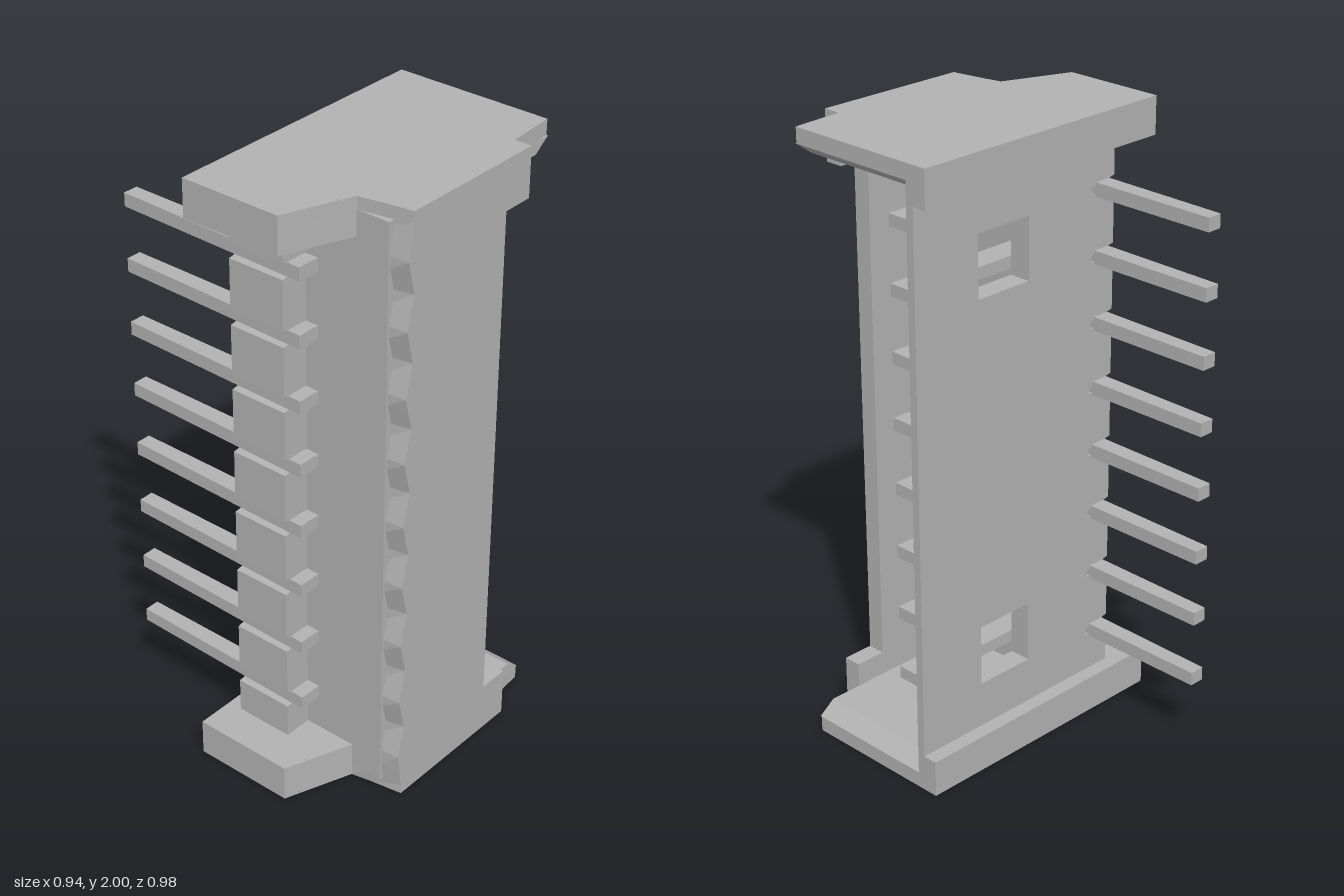
import * as THREE from 'three';

const plastic = new THREE.MeshStandardMaterial({ color: 0xb2b2b2 });
plastic.name = 'grey plastic';

const toShape = (pts) => new THREE.Shape(pts.map(([a, b]) => new THREE.Vector2(a, b)));

// Prism with an (x, y) outline running from z0 to z1
function prismZ(shape, z0, z1) {
  const g = new THREE.ExtrudeGeometry(shape, { depth: z1 - z0, bevelEnabled: false });
  return g.translate(0, 0, z0);
}

// Prism with an (x, z) outline running from y0 to y1
function prismY(pts, y0, y1) {
  const g = new THREE.ExtrudeGeometry(toShape(pts.map(([x, z]) => [x, -z])), { depth: y1 - y0, bevelEnabled: false });
  return g.rotateX(-Math.PI / 2).translate(0, y0, 0);
}

function box(x0, x1, y0, y1, z0, z1) {
  const g = new THREE.BoxGeometry(x1 - x0, y1 - y0, z1 - z0);
  return g.translate((x0 + x1) / 2, (y0 + y1) / 2, (z0 + z1) / 2);
}

export function createModel() {
  const root = new THREE.Group();
  root.name = 'pinHeader';
  const add = (name, geometry, parent = root) => {
    const mesh = new THREE.Mesh(geometry, plastic);
    mesh.name = name;
    parent.add(mesh);
  };

  const pitch = 0.2127, firstPin = 0.26, pinCount = 8;

  // End caps, bottom and top
  const capOutline = [[-0.47, -0.105], [0.465, -0.105], [0.465, 0.42], [0.295, 0.432],
    [0.295, 0.49], [-0.22, 0.49], [-0.247, 0.32], [-0.47, 0.235]];
  const ledgeOutline = [[-0.47, -0.105], [-0.24, -0.105], [-0.24, 0.323], [-0.47, 0.235]];
  for (const top of [false, true]) {
    const cap = new THREE.Group();
    cap.name = top ? 'topCap' : 'bottomCap';
    root.add(cap);
    const flip = (y) => (top ? 2 - y : y);
    const range = (a, b) => (top ? [2 - b, 2 - a] : [a, b]);
    add('capPlate', prismY(capOutline, ...range(0, 0.05)), cap);
    add('sideLedge', prismY(ledgeOutline, ...range(0.05, 0.12)), cap);
    add('backLedge', box(-0.24, 0.465, ...range(0.05, 0.12), -0.105, -0.05), cap);
    // Cavity floor with a sloped lip at the open side
    const floor = [[-0.2, 0.05], [0.465, 0.05], [0.41, 0.09], [-0.2, 0.09]].map(([x, y]) => [x, flip(y)]);
    add('cavityFloor', prismZ(toShape(floor), -0.05, 0.425), cap);
  }

  // Back wall with two square windows and a chamfered lip
  const back = toShape([[-0.25, 0.04], [0.41, 0.04], [0.41, 1.96], [-0.25, 1.96]]);
  for (const y of [0.27, 1.54]) {
    back.holes.push(new THREE.Path([[0.015, y], [0.015, y + 0.2], [0.22, y + 0.2], [0.22, y]]
      .map(([a, b]) => new THREE.Vector2(a, b))));
  }
  add('backWall', prismZ(back, -0.057, 0.015));
  add('backWallLip', prismY([[0.41, -0.057], [0.465, -0.057], [0.465, -0.03], [0.41, 0.015]], 0.04, 1.96));

  // Front wall, cut back between its two corner tabs
  add('frontWall', prismZ(toShape([[-0.19, 0], [0.295, 0], [0.295, 0.165], [0.19, 0.165],
    [0.19, 1.84], [0.295, 1.84], [0.295, 2], [-0.19, 2]]), 0.43, 0.49));

  // Side wall closing the cavity
  add('sideWall', box(-0.25, -0.16, 0.04, 1.96, -0.05, 0.43));

  // Scalloped front corner, straight where it meets the side wall
  const edge = [[-0.18, 2], [-0.18, 0], [-0.215, 0]];
  for (let i = 0; i < pinCount; i++) {
    const y = firstPin + i * pitch;
    edge.push([-0.238, y - pitch / 2], [-0.212, y]);
  }
  edge.push([-0.238, firstPin + (pinCount - 0.5) * pitch], [-0.215, 2]);
  const corner = prismZ(toShape(edge), 0.32, 0.49);
  const p = corner.attributes.position;
  for (let i = 0; i < p.count; i++) {
    if (p.getZ(i) < 0.4 && p.getX(i) < -0.2) p.setX(i, -0.25);
  }
  corner.computeVertexNormals();
  add('scallopedCorner', corner);

  // Separator blocks between the pins
  for (let i = 0; i <= pinCount; i++) {
    const c = firstPin + (i - 0.5) * pitch;
    const lo = Math.max(c - 0.08, 0.1), hi = Math.min(c + 0.08, 1.9);
    add('separatorBlock', prismZ(toShape([[-0.24, lo - 0.02], [-0.24, hi + 0.015],
      [-0.345, hi], [-0.345, lo]]), -0.057, 0.14));
  }

  // Angled pins: a tapered leg to the rear and a contact inside the cavity
  for (let i = 0; i < pinCount; i++) {
    const y = firstPin + i * pitch;
    const pin = new THREE.Group();
    pin.name = 'pin';
    root.add(pin);
    const leg = prismY([[-0.315, -0.49], [-0.265, -0.49], [-0.265, 0.185], [-0.328, 0.185]], y - 0.022, y + 0.022);
    add('pinLeg', leg, pin);
    add('pinContact', box(-0.27, 0.335, y - 0.02, y + 0.02, 0.095, 0.185), pin);
  }

  return root;
}
